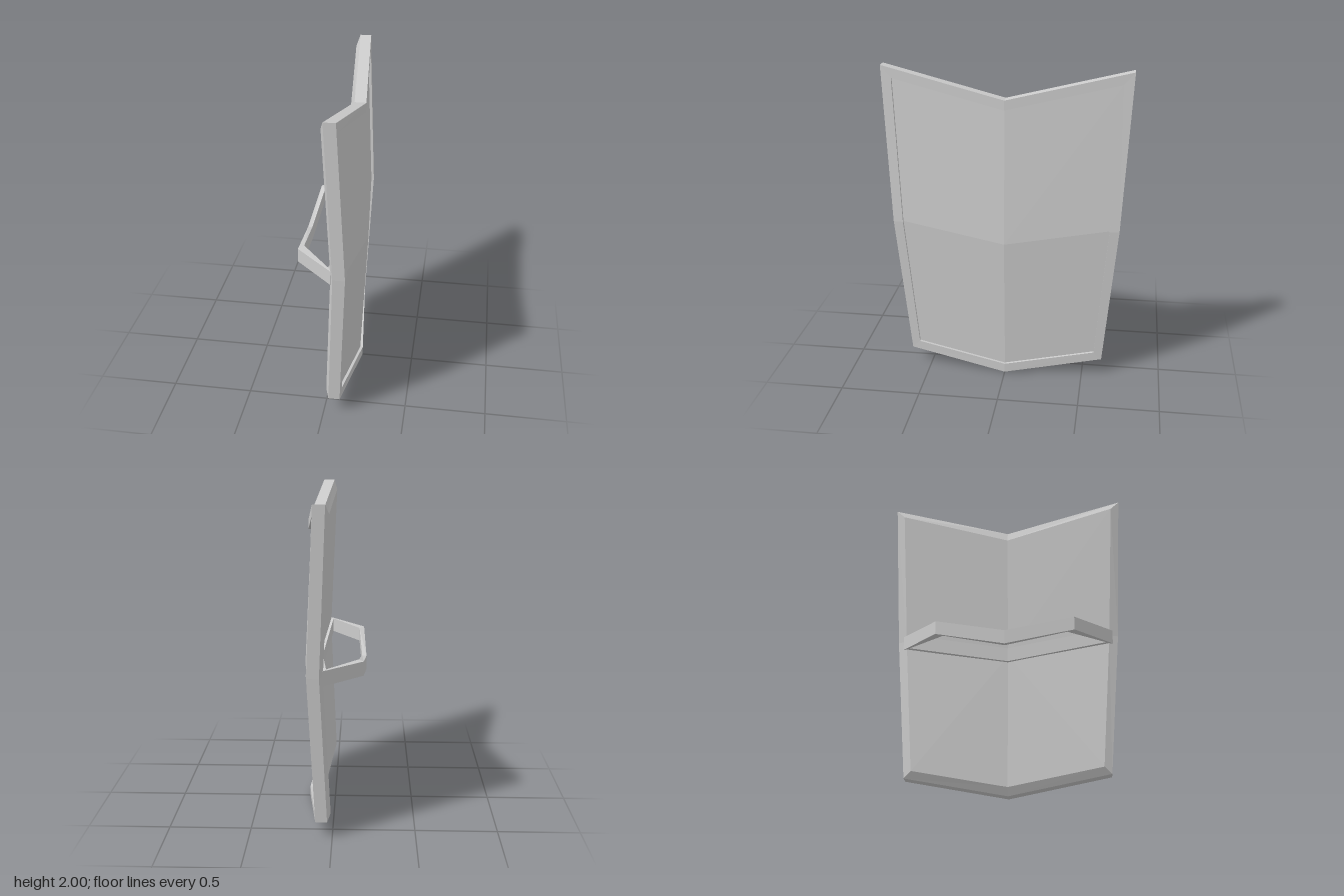
import * as THREE from 'three';

// Flat-shaded mesh from a list of triangles (arrays of three points)
function flatMesh(name, tris) {
  const geo = new THREE.BufferGeometry();
  geo.setAttribute('position', new THREE.Float32BufferAttribute(tris.flat(2), 3));
  geo.computeVertexNormals();
  const mesh = new THREE.Mesh(geo, new THREE.MeshStandardMaterial({ color: 0xcccccc, flatShading: true }));
  mesh.name = name;
  return mesh;
}

// Mirror half an outline (top centre to bottom centre) into a closed loop
function mirrorLoop(half) {
  const other = half.slice(1, -1).reverse().map(([x, y, z]) => [x, y, -z]);
  return [...half, ...other];
}

// Quads joining two closed loops of equal length
function band(a, b) {
  const tris = [];
  a.forEach((p, i) => {
    const j = (i + 1) % a.length;
    tris.push([p, a[j], b[j]], [p, b[j], b[i]]);
  });
  return tris;
}

// Triangles from a centre point to a closed loop
function fan(c, loop, flip) {
  return loop.map((p, i) => {
    const q = loop[(i + 1) % loop.length];
    return flip ? [c, q, p] : [c, p, q];
  });
}

export function createModel() {
  const model = new THREE.Group();
  model.name = 'shield';

  // Outlines: top centre, top corner, side bend, bottom corner, bottom centre
  const backInner = mirrorLoop([[0.07, 1.76, 0], [0.01, 1.94, 0.7], [0.05, 1.02, 0.65], [0.01, 0.145, 0.58], [0.07, 0.05, 0]]);
  const backOuter = mirrorLoop([[0.095, 1.825, 0], [0.03, 2, 0.755], [0.07, 1.02, 0.705], [0.03, 0.105, 0.625], [0.095, 0, 0]]);
  const frontOuter = mirrorLoop([[0.165, 1.825, 0], [0.1, 2, 0.755], [0.143, 1.02, 0.705], [0.1, 0.105, 0.625], [0.165, 0, 0]]);
  const frontInner = mirrorLoop([[0.166, 1.765, 0], [0.107, 1.925, 0.69], [0.148, 1.02, 0.645], [0.107, 0.155, 0.575], [0.166, 0.06, 0]]);
  const recess = frontInner.map(([x, y, z]) => [x - 0.017, y, z]);

  // Rim: back chamfer, outer edge, front border and step down to the panel
  model.add(flatMesh('rim', [
    ...band(backInner, backOuter),
    ...band(backOuter, frontOuter),
    ...band(frontOuter, frontInner),
    ...band(frontInner, recess),
  ]));
  model.add(flatMesh('frontPanel', fan([0.191, 0.92, 0], recess, false)));
  model.add(flatMesh('backPanel', fan([0.1, 0.92, 0], backInner, true)));

  // Handle: closed strap, [outer x, outer z, inner x, inner z, bottom y, top y]
  const half = [
    [0.105, 0, 0.08, 0, 0.875, 0.965],
    [0.055, 0.67, 0.033, 0.625, 0.965, 1.055],
    [-0.18, 0.43, -0.15, 0.385, 0.96, 1.047],
    [-0.197, 0, -0.17, 0, 0.873, 0.962],
  ];
  const stations = [...half, ...half.slice(1, -1).reverse().map(([a, b, c, d, e, f]) => [a, -b, c, -d, e, f])];
  const outerLow = stations.map((s) => [s[0], s[4], s[1]]);
  const outerTop = stations.map((s) => [s[0], s[5], s[1]]);
  const innerLow = stations.map((s) => [s[2], s[4], s[3]]);
  const innerTop = stations.map((s) => [s[2], s[5], s[3]]);
  // Stations run from +x to +z, so loops are joined top to bottom on the outside
  model.add(flatMesh('handle', [
    ...band(outerTop, outerLow),
    ...band(outerLow, innerLow),
    ...band(innerLow, innerTop),
    ...band(innerTop, outerTop),
  ]));
  return model;
}
